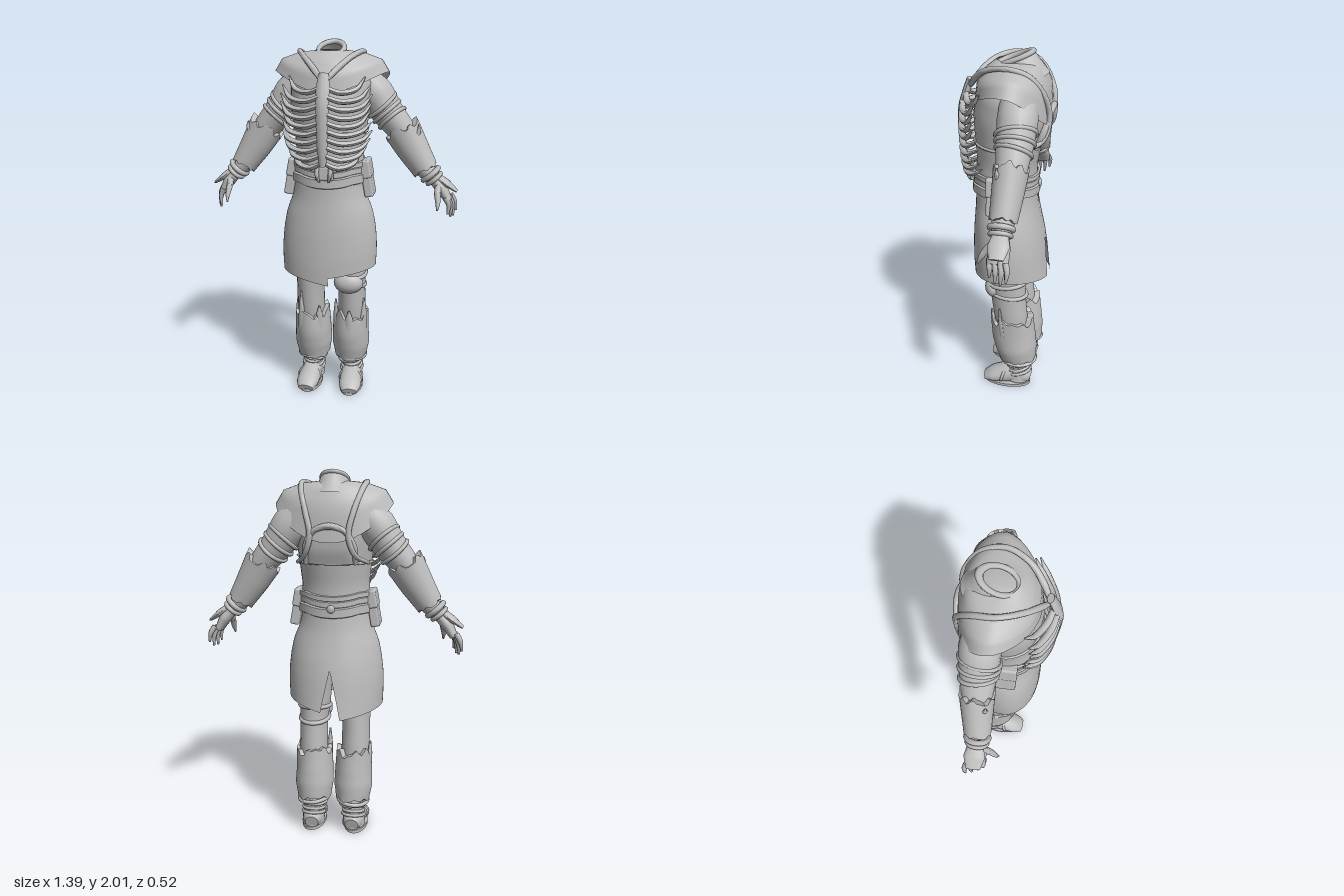
import * as THREE from 'three';
import { mergeVertices, toCreasedNormals } from 'three/addons/utils/BufferGeometryUtils.js';
import { RoundedBoxGeometry } from 'three/addons/geometries/RoundedBoxGeometry.js';

const grey = new THREE.MeshStandardMaterial({ color: 0xbdbdbd, side: THREE.DoubleSide });
grey.name = 'plainGrey';
const V = (p) => new THREE.Vector3(...p);
const TAU = Math.PI * 2;

function add(parent, name, geo, pos = [0, 0, 0], rot = [0, 0, 0], scale = [1, 1, 1]) {
  const mesh = new THREE.Mesh(geo, grey);
  mesh.name = name;
  mesh.position.set(...pos);
  mesh.rotation.set(...rot);
  mesh.scale.set(...scale);
  parent.add(mesh);
  return mesh;
}

// Grid surface from a rule f(u, v) -> [x, y, z]
function surface(nu, nv, f) {
  const pos = [], idx = [];
  for (let i = 0; i <= nu; i++) for (let j = 0; j <= nv; j++) pos.push(...f(i / nu, j / nv));
  for (let i = 0; i < nu; i++) for (let j = 0; j < nv; j++) {
    const a = i * (nv + 1) + j, b = a + nv + 1;
    idx.push(a, b, a + 1, b, b + 1, a + 1);
  }
  const g = new THREE.BufferGeometry();
  g.setAttribute('position', new THREE.Float32BufferAttribute(pos, 3));
  g.setIndex(idx);
  return toCreasedNormals(mergeVertices(g, 1e-5), 0.85);
}

// Piecewise linear lookup in a list of numbers or number pairs
function lookup(list, u) {
  const k = Math.min(Math.floor(u * (list.length - 1)), list.length - 2);
  const f = u * (list.length - 1) - k;
  const mix = (a, b) => a + (b - a) * f;
  const A = [list[k]].flat(), B = [list[k + 1]].flat();
  return [mix(A[0], B[0]), mix(A[A.length - 1], B[B.length - 1])];
}

// Tapered elliptical sweep; radii are [side, depth] pairs. jag(angle, u) shifts rim points along the path.
function sweep(pts, radii, { n = 16, steps = 14, open = false, ref = [0, 0, 1], jag } = {}) {
  const curve = new THREE.CatmullRomCurve3(pts.map(V));
  const rows = open ? steps : steps + 2;
  return surface(rows, n, (ru, v) => {
    const k = Math.round(ru * rows);
    const u = open ? ru : THREE.MathUtils.clamp((k - 1) / steps, 0, 1);
    const cap = !open && (k === 0 || k === rows) ? 0 : 1;
    const t = curve.getTangent(u), s = t.clone().cross(V(ref)).normalize(), d = s.clone().cross(t);
    const [a, b] = lookup(radii, u), ang = v === 1 ? 0 : v * TAU;
    const p = curve.getPoint(u).addScaledVector(s, a * cap * Math.cos(ang)).addScaledVector(d, b * cap * Math.sin(ang));
    if (jag) p.addScaledVector(t, cap * jag(ang, u));
    return p.toArray();
  });
}

// Closed ring tube around a limb, tilted along an axis
function ring(parent, name, pos, axis, a, b, r = 0.012) {
  const mesh = add(parent, name, new THREE.TorusGeometry(1, r / a, 8, 28), pos, [0, 0, 0], [a, b, a]);
  const z = V(axis).normalize(), x = V([0, 0, 1]).cross(z).normalize(), y = z.clone().cross(x);
  mesh.quaternion.setFromRotationMatrix(new THREE.Matrix4().makeBasis(x, y, z));
}

const ragged = (ang, k) => 0.5 * Math.sin(3 * ang + k) + 0.35 * Math.sin(7 * ang + 2 * k) + 0.3 * Math.sin(11 * ang);
const ribZ = (y) => lookup([0.225, 0.235, 0.24, 0.245, 0.235, 0.19], THREE.MathUtils.clamp((y - 1.35) / 0.47, 0, 1))[0];

function buildTorso(g) {
  add(g, 'torso', sweep(
    [[0, 1.22, 0], [0, 1.32, 0], [0, 1.42, -0.005], [0, 1.54, -0.012], [0, 1.66, -0.02], [0, 1.78, -0.035], [0, 1.86, -0.05], [0, 1.9, -0.05]],
    [[0.19, 0.165], [0.19, 0.165], [0.185, 0.163], [0.198, 0.178], [0.215, 0.192], [0.22, 0.178], [0.18, 0.145], [0.1, 0.1]], { n: 32, steps: 21 }));
  // Mantle draped over the shoulders, lower at front and back, narrower across the chest
  add(g, 'mantle', surface(9, 48, (u, v) => {
    const ang = -(v % 1) * TAU, c = Math.cos(ang), s = Math.sin(ang), drop = s * s * (s > 0 ? 0.1 : 0.2);
    const square = 1 - 0.2 * Math.max(0, s) * u + 0.12 * Math.max(0, -s) * u;
    const x = lookup([0.07, 0.17, 0.27, 0.31], u)[0], z = lookup([0.09, 0.15, 0.188, 0.2], u)[0];
    const y = lookup([1.95, 1.94, 1.905, 1.84], u)[0];
    return [x * c * square, y - drop * u * u - (s > 0 ? 0.03 * s * Math.sin(u * Math.PI) : 0), -0.04 + z * s];
  }));
  // Open collar, tipped forward, with a wide lip
  add(g, 'collar', sweep([[0, 1.85, -0.08], [0, 1.91, -0.06], [0, 1.96, -0.037]],
    [[0.125, 0.145], [0.09, 0.118], [0.072, 0.1]], { n: 28, open: true }));
  ring(g, 'collarRim', [0, 1.957, -0.038], [0, 0.93, 0.37], 0.068, 0.098, 0.014);
  add(g, 'chestSeam', new THREE.TorusGeometry(1, 0.04, 6, 40), [0, 1.53, -0.012], [Math.PI / 2, 0, 0], [0.199, 0.18, 0.2]);
  // Breastbone and ribs
  add(g, 'breastbone', sweep([1.84, 1.77, 1.68, 1.55, 1.45, 1.37].map((y) => [0, y, ribZ(y)]),
    [[0.026, 0.018], [0.036, 0.02], [0.034, 0.02], [0.031, 0.018], [0.028, 0.017], [0.018, 0.014]], { n: 8 }));
  for (const s of [1, -1]) {
    const half = new THREE.Group();
    half.name = s > 0 ? 'leftRibs' : 'rightRibs';
    half.scale.x = s;
    g.add(half);
    for (let i = 0; i < 10; i++) {
      const y = 1.77 - i * 0.043, w = [0.2, 0.23, 0.24, 0.24, 0.23, 0.235, 0.24, 0.23, 0.21, 0.18][i], z = ribZ(y), up = i < 5 ? 0.05 : 0.035;
      add(half, 'rib', sweep([[0.015, y, z - 0.003], [w * 0.4, y - 0.025, z - 0.025], [w * 0.8, y - 0.01, z - 0.075], [w, y + up, z - 0.115 - 0.02 * (i > 4)]],
        [[0.014, 0.012], [0.018, 0.015], [0.016, 0.014], [0.004, 0.004]], { n: 8, ref: [0, 1, 0] }));
    }
    // Bone strap from the breastbone, over the shoulder and down the back
    add(half, 'boneStrap', sweep([[0.015, 1.81, 0.185], [0.06, 1.86, 0.15], [0.125, 1.92, 0.08], [0.17, 1.945, -0.03], [0.16, 1.91, -0.14],
      [0.125, 1.8, -0.218], [0.1, 1.68, -0.235], [0.13, 1.58, -0.21], [0.19, 1.53, -0.11]],
    [0.013, 0.017, 0.015, 0.014, 0.016, 0.015, 0.016, 0.014, 0.01], { n: 10, steps: 40, ref: [1, 0, 0.01] }));
  }
  // Back plate framed by an arch
  add(g, 'backArch', sweep([[-0.13, 1.53, -0.175], [-0.125, 1.62, -0.212], [-0.08, 1.7, -0.235], [0, 1.725, -0.242], [0.08, 1.7, -0.235], [0.125, 1.62, -0.212], [0.13, 1.53, -0.175]],
    [0.014, 0.018, 0.014, 0.018, 0.014, 0.018, 0.014], { n: 10, steps: 30 }));
  add(g, 'backPlate', sweep([[0, 1.53, -0.185], [0, 1.6, -0.208], [0, 1.66, -0.218]], [[0.12, 0.012], [0.115, 0.012], [0.1, 0.01]]));
}

function buildWaist(g) {
  const band = (name, y, h, grow) => add(g, name, surface(3, 40, (u, v) => {
    const a = (v % 1) * TAU, r = grow - (u === 0 || u === 1 ? 0.012 : 0), dip = Math.max(0, Math.abs(Math.sin(a)) - 0.7) * 0.06;
    return [(0.19 + r) * Math.cos(a), y + h * [0, 0.1, 0.9, 1][Math.round(u * 3)] - dip, (0.165 + r) * Math.sin(a)];
  }));
  band('lowerBelt', 1.255, 0.055, 0.017);
  band('middleBelt', 1.31, 0.035, 0.011);
  band('upperBelt', 1.345, 0.03, 0.015);
  add(g, 'buckle', new RoundedBoxGeometry(0.1, 0.075, 0.025, 2, 0.01), [0, 1.325, 0.18]);
  for (const x of [-0.035, 0.035]) add(g, 'buckleProng', sweep([[x, 1.37, 0.195], [x, 1.32, 0.205], [x * 0.7, 1.28, 0.195]], [0.01, 0.012, 0.005], { n: 8 }));
  add(g, 'backButton', new THREE.SphereGeometry(0.022, 14, 8), [0, 1.29, -0.182], [0, 0, 0], [1, 1, 0.5]);
  for (const s of [1, -1]) {
    const pouch = new THREE.Group();
    pouch.name = s > 0 ? 'leftPouch' : 'rightPouch';
    pouch.position.set(s * 0.208, 1.278, 0.0);
    pouch.rotation.z = s * 0.18;
    g.add(pouch);
    add(pouch, 'pouchBody', new RoundedBoxGeometry(0.05, 0.2, 0.13, 2, 0.01));
    add(pouch, 'pouchFlap', new RoundedBoxGeometry(0.06, 0.1, 0.14, 2, 0.012), [0, 0.052, 0]);
    // Skirt panel: split at the centre back, overlapping its neighbour at front and upper back
    const panel = add(g, s > 0 ? 'leftSkirtPanel' : 'rightSkirtPanel', surface(14, 32, (w, v) => {
      const u = 1 - w, drop = s > 0 ? 0.53 : 0.57, y = 1.265 - u * (drop - 0.045 * Math.sin(v * Math.PI));
      const slit = y > 0.97 ? -0.04 : ((0.97 - y) / 0.25) * 0.2, r = s > 0 ? 0 : 0.005;
      const a = -Math.PI / 2 + slit + v * (Math.PI - slit + (s < 0 ? 0.07 : -0.03));
      const x = lookup([0.185, 0.2, 0.235, 0.252, 0.262, 0.264, 0.26], u)[0] + r;
      const zf = lookup([0.165, 0.165, 0.172, 0.178, 0.18, 0.18, 0.175], u)[0] + r;
      const zb = lookup([0.165, 0.172, 0.19, 0.21, 0.225, 0.235, 0.247], u)[0] + r;
      return [x * Math.cos(a), y, Math.sin(a) * (Math.sin(a) > 0 ? zf : zb)];
    }));
    panel.scale.x = s;
  }
}

function buildArm(g) {
  add(g, 'sleeve', sweep([[0.15, 1.81, -0.09], [0.23, 1.72, -0.1], [0.3, 1.62, -0.1], [0.375, 1.53, -0.1], [0.5, 1.33, -0.09], [0.57, 1.26, -0.085]],
    [[0.08, 0.09], [0.1, 0.102], [0.088, 0.095], [0.075, 0.08], [0.055, 0.06], [0.038, 0.045]], { n: 20, steps: 20 }));
  const along = [0.66, -0.75, 0];
  for (const [i, x] of [0.268, 0.295, 0.325].entries())
    ring(g, 'armBand', [x, 1.66 - i * 0.035, -0.1], [0.66, -0.75, (i - 1) * 0.15], 0.092 - i * 0.004, 0.1 - i * 0.005, 0.011);
  // Torn, flaring forearm cuff
  add(g, 'forearmCuff', sweep([[0.38, 1.53, -0.1], [0.44, 1.43, -0.095], [0.515, 1.315, -0.088]],
    [[0.102, 0.088], [0.09, 0.08], [0.072, 0.07]], { n: 40, jag: (a, u) => ragged(a, 1) * (u < 0.05 ? 0.03 : u > 0.95 ? 0.012 : 0) }));
  add(g, 'cuffSpike', sweep([[0.45, 1.49, -0.05], [0.475, 1.53, -0.05], [0.472, 1.565, -0.045]], [0.018, 0.012, 0.003], { n: 8 }));
  ring(g, 'wristWrap', [0.545, 1.29, -0.085], along, 0.052, 0.055, 0.015);
  ring(g, 'wristWrap', [0.565, 1.265, -0.085], along, 0.045, 0.05, 0.012);
  // Hand
  add(g, 'palm', sweep([[0.56, 1.27, -0.085], [0.605, 1.215, -0.087], [0.645, 1.15, -0.088]], [[0.034, 0.04], [0.034, 0.055], [0.022, 0.052]]));
  add(g, 'handGuard', sweep([[0.585, 1.275, -0.088], [0.635, 1.24, -0.09], [0.69, 1.2, -0.09]], [[0.02, 0.04], [0.02, 0.055], [0.008, 0.036]]));
  for (let i = 0; i < 4; i++) {
    const z = -0.045 - i * 0.028, d = [0.02, 0, 0, 0.025][i], x = 0.628 + i * 0.01;
    add(g, 'finger', sweep([[x, 1.17, z], [x + 0.022, 1.12 + d / 2, z * 1.08], [x + 0.02 + i * 0.004, 1.055 + d, z * 1.05]], [0.016, 0.014, 0.006], { n: 8, steps: 8 }));
  }
  add(g, 'thumb', sweep([[0.59, 1.23, -0.055], [0.588, 1.19, -0.02], [0.592, 1.15, 0.005], [0.59, 1.11, 0.025]], [0.02, 0.018, 0.014, 0.005], { n: 8, steps: 8 }));
}

function buildLeg(g, left) {
  add(g, 'leg', sweep([[0.1, 1.0, -0.02], [0.115, 0.75, -0.025], [0.12, 0.62, -0.035], [0.12, 0.45, -0.055], [0.115, 0.2, -0.09]],
    [[0.095, 0.12], [0.088, 0.105], [0.078, 0.1], [0.08, 0.095], [0.055, 0.06]], { n: 20 }));
  if (left) {
    add(g, 'kneePad', new THREE.SphereGeometry(1, 20, 14), [0.112, 0.675, 0.045], [0, 0, 0], [0.084, 0.062, 0.056]);
    ring(g, 'kneeStrap', [0.115, 0.715, -0.028], [0, 1, 0.1], 0.086, 0.104, 0.012);
    ring(g, 'kneeStrap', [0.117, 0.645, -0.033], [0, 1, -0.1], 0.08, 0.101, 0.012);
  }
  // Torn shin wrap, spreading towards the heel
  add(g, 'shinWrap', sweep([[0.115, 0.47, -0.058], [0.112, 0.36, -0.065], [0.112, 0.27, -0.08], [0.11, 0.19, -0.093]],
    [[0.1, 0.122], [0.104, 0.128], [0.108, 0.122], [0.094, 0.108]], { n: 44, jag: (a, u) => ragged(a, left ? 2 : 5) * (u < 0.05 ? 0.035 : u > 0.95 ? 0.012 : 0) }));
  // Long torn points rising from the wrap's rim: angle around the leg, tip height
  for (const [a, y] of left ? [[2.5, 0.56], [0.5, 0.57], [1.5, 0.51]] : [[1.05, 0.61], [2.2, 0.52], [-0.2, 0.53]]) {
    const at = (r, h, dz) => [0.113 + r * Math.cos(a), h, -0.06 + (r + 0.024) * Math.sin(a) + dz];
    add(g, 'wrapPoint', sweep([at(0.088, 0.38, 0), at(0.094, 0.46, 0), at(0.096, y, 0.005)], [[0.028, 0.012], [0.021, 0.012], [0.005, 0.005]],
      { n: 10, ref: [0.5 * Math.cos(a), 0, Math.sin(a)] }));
  }
  ring(g, 'ankleCord', [0.112, 0.185, -0.093], [0.1, 1, 0], 0.085, 0.1, 0.011);
  ring(g, 'ankleCord', [0.112, 0.165, -0.093], [-0.1, 1, 0.05], 0.07, 0.085, 0.01);
  // Boot
  add(g, 'bootShaft', sweep([[0.115, 0.22, -0.09], [0.115, 0.13, -0.098], [0.118, 0.03, -0.09]], [[0.06, 0.066], [0.057, 0.064], [0.066, 0.074]]));
  add(g, 'bootFoot', sweep([[0.115, 0.05, -0.168], [0.116, 0.058, -0.14], [0.119, 0.066, -0.06], [0.123, 0.056, 0.0], [0.127, 0.041, 0.06], [0.13, 0.024, 0.105]],
    [[0.038, 0.04], [0.056, 0.055], [0.062, 0.064], [0.065, 0.055], [0.065, 0.04], [0.044, 0.022]], { ref: [0, 1, 0] }));
  const sole = new THREE.Shape();
  sole.absellipse(0, 0, 0.067, 0.138, 0, TAU);
  add(g, 'sole', new THREE.ExtrudeGeometry(sole, { depth: 0.018, bevelEnabled: false, curveSegments: 20 }), [0.123, 0.018, -0.03], [Math.PI / 2, 0, 0]);
  for (const [y, r] of [[0.145, 0.056], [0.115, 0.058], [0.09, 0.062]]) ring(g, 'bootStrap', [0.116, y, -0.096], [0, 1, 0.25], r, r + 0.01, 0.009);
  ring(g, 'instepStrap', [0.123, 0.06, -0.005], [0.01, 0.3, 0.95], 0.064, 0.05, 0.009);
}

export function createModel() {
  const model = new THREE.Group();
  model.name = 'boneArmourOutfit';
  buildTorso(model);
  buildWaist(model);
  for (const s of [1, -1]) {
    const arm = new THREE.Group(), leg = new THREE.Group(), side = s > 0 ? 'left' : 'right';
    arm.name = side + 'Arm';
    leg.name = side + 'Leg';
    arm.scale.x = leg.scale.x = s;
    buildArm(arm);
    buildLeg(leg, s > 0);
    model.add(arm, leg);
  }
  return model;
}
